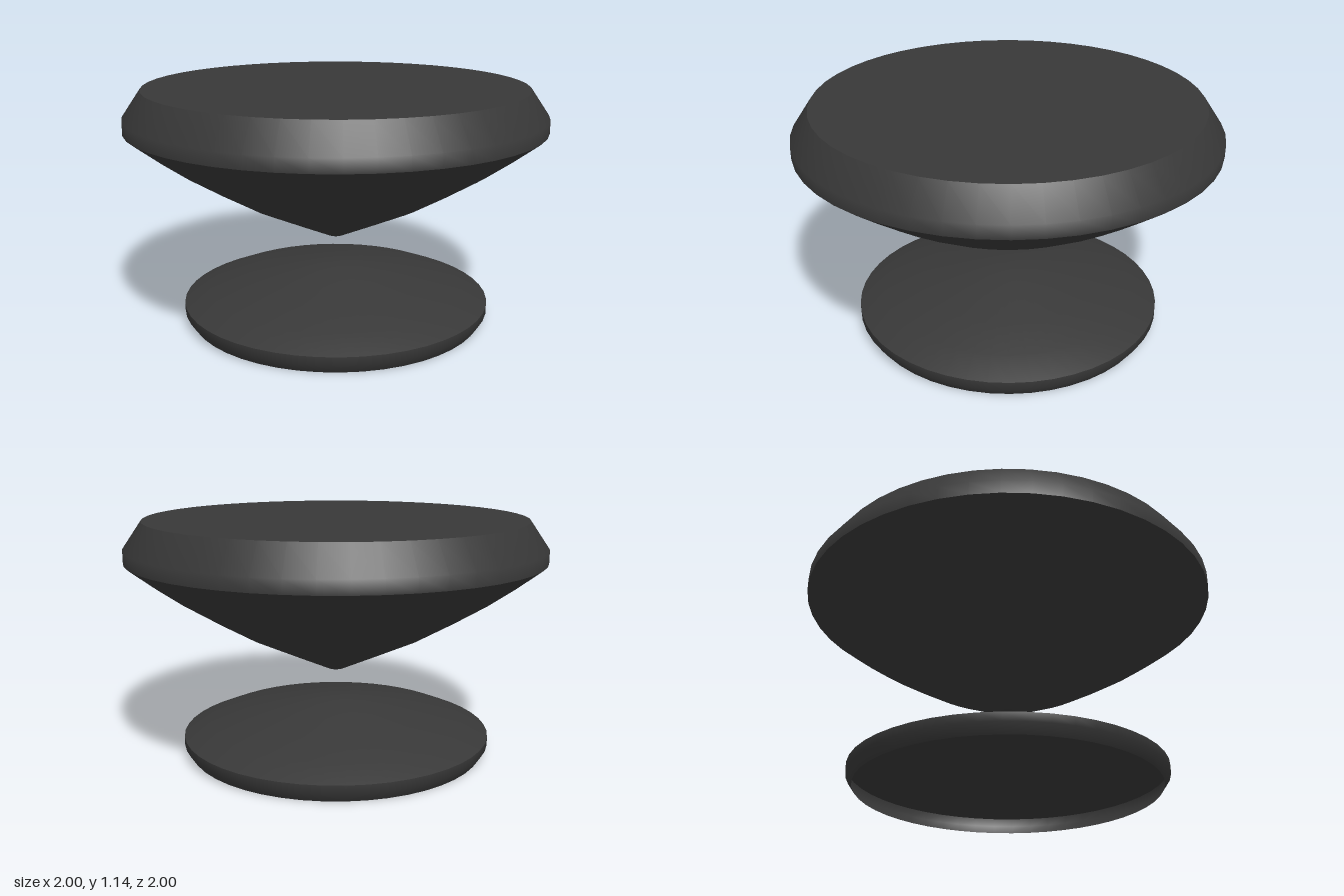
import * as THREE from 'three';

const SEGMENTS = 48;

export function createModel() {
  const model = new THREE.Group();
  const material = new THREE.MeshStandardMaterial({ color: 0x383838, side: THREE.DoubleSide });

  // Each surface is its own lathe, so its borders stay sharp.
  // Profiles run bottom to top on the outside.
  function turned(name, parent, profile) {
    const points = profile.map(([r, y]) => new THREE.Vector2(r, y));
    const mesh = new THREE.Mesh(new THREE.LatheGeometry(points, SEGMENTS), material);
    mesh.name = name;
    parent.add(mesh);
  }

  // Low domed base, a thin shell open underneath
  const base = new THREE.Group();
  base.name = 'base';
  turned('baseRim', base, [[0.72, 0], [0.75, 0.045], [0.75, 0.085]]);
  turned('baseDome', base, [
    [0.75, 0.085], [0.625, 0.138], [0.44, 0.18], [0.27, 0.217], [0.14, 0.238], [0.06, 0.246], [0, 0.247],
  ]);

  // Floating upper body: flared cone, bevelled rim and flat top
  const body = new THREE.Group();
  body.name = 'upperBody';
  turned('coneTip', body, [[0, 0.397], [0.04, 0.397]]);
  turned('cone', body, [
    [0.04, 0.397], [0.22, 0.48], [0.44, 0.583], [0.6, 0.675], [0.76, 0.773], [0.88, 0.857], [1, 0.948],
  ]);
  turned('bodyRim', body, [[1, 0.948], [1, 1.01], [0.912, 1.138]]);
  turned('flatTop', body, [[0.912, 1.138], [0, 1.138]]);

  model.add(base, body);
  return model;
}
